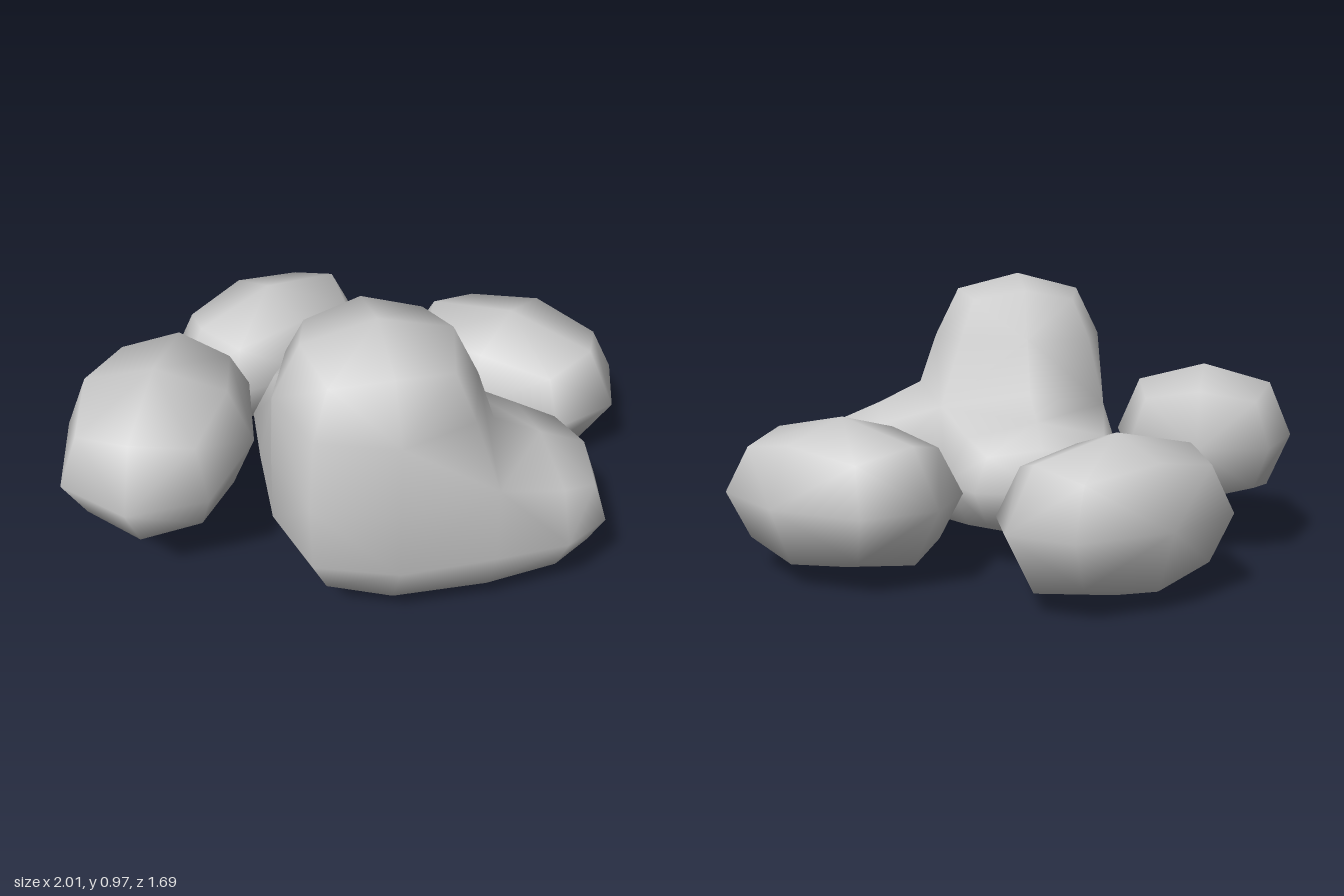
import * as THREE from 'three';

const V = (x, y, z) => new THREE.Vector3(x, y, z);
const mean = (list) => list.reduce((s, p) => s.add(p), V(0, 0, 0)).divideScalar(list.length);

// Box faces; corner index = x bit + 2 * y bit + 4 * z bit
const FACES = {
  right: [0, 4, 6, 2], left: [1, 3, 7, 5],
  bottom: [0, 1, 5, 4], top: [2, 6, 7, 3],
  back: [0, 2, 3, 1], front: [4, 5, 7, 6],
};

// Eight corners from a centre and three half axes
function boxCorners(c, a, b, d) {
  return Array.from({ length: 8 }, (_, i) => c.clone()
    .addScaledVector(a, i & 1 ? 1 : -1)
    .addScaledVector(b, i & 2 ? 1 : -1)
    .addScaledVector(d, i & 4 ? 1 : -1));
}

// Quad cage of a box; each arm pulls one face out to an end centre with its own half sizes
function makeCage(corners, arms = {}) {
  const points = corners.map((p) => p.clone());
  const middle = mean(corners);
  const quads = [];
  for (const [name, face] of Object.entries(FACES)) {
    const arm = arms[name];
    if (!arm) { quads.push(face); continue; }
    const end = face.map((i) => {
      const side = corners[i].clone().sub(middle);
      const s = V(Math.sign(side.x), Math.sign(side.y), Math.sign(side.z));
      return points.push(arm.centre.clone().add(s.multiply(arm.half))) - 1;
    });
    face.forEach((a, k) => {
      const n = (k + 1) % 4;
      quads.push([a, face[n], end[n], end[k]]);
    });
    quads.push(end);
  }
  return { points, quads };
}

// One round of quad subdivision, giving a rounded smooth-shaded stone
function roundCage({ points, quads }) {
  const out = [];
  const facePoints = quads.map((q) => mean(q.map((i) => points[i])));
  const edges = new Map();
  const around = points.map(() => ({ faces: [], mids: [] }));
  const key = (a, b) => Math.min(a, b) + '_' + Math.max(a, b);
  quads.forEach((q, f) => q.forEach((a, k) => {
    const b = q[(k + 1) % 4];
    around[a].faces.push(facePoints[f]);
    if (!edges.has(key(a, b))) {
      edges.set(key(a, b), { a, b, faces: [] });
      const mid = mean([points[a], points[b]]);
      around[a].mids.push(mid);
      around[b].mids.push(mid);
    }
    edges.get(key(a, b)).faces.push(facePoints[f]);
  }));
  points.forEach((p, i) => {
    const n = around[i].faces.length;
    const smooth = mean(around[i].faces)
      .addScaledVector(mean(around[i].mids), 2)
      .addScaledVector(p, n - 3).divideScalar(n);
    out.push(smooth.lerp(p, 0.1)); // keep the corners a little full
  });
  for (const e of edges.values()) {
    e.index = out.push(mean([points[e.a], points[e.b], ...e.faces])) - 1;
  }
  const index = [];
  quads.forEach((q, f) => {
    const c = out.push(facePoints[f]) - 1;
    q.forEach((v, k) => {
      const next = edges.get(key(v, q[(k + 1) % 4])).index;
      const prev = edges.get(key(v, q[(k + 3) % 4])).index;
      index.push(v, next, c, v, c, prev);
    });
  });
  const geometry = new THREE.BufferGeometry().setFromPoints(out);
  geometry.setIndex(index);
  geometry.computeVertexNormals();
  return geometry;
}

export function createModel() {
  const group = new THREE.Group();
  const material = new THREE.MeshStandardMaterial({ color: 0xcccccc });
  const add = (name, cage) => {
    const mesh = new THREE.Mesh(roundCage(cage), material);
    mesh.name = name;
    group.add(mesh);
  };

  // Large stone: a core with lobes going up, to the left and to the back
  const core = boxCorners(V(-0.04, 0.28, 0.5), V(0.33, 0, 0), V(0, 0.225, 0), V(0, 0, 0.335));
  add('largeStone', makeCage(core, {
    top: { centre: V(-0.04, 0.97, 0.5), half: V(0.3, 0, 0.3) },
    left: { centre: V(0.705, 0.27, 0.5), half: V(0, 0.18, 0.29) },
    back: { centre: V(-0.04, 0.27, -0.28), half: V(0.3, 0.18, 0) },
  }));

  // Small stones: centre, half height and two horizontal half axes [x, z]
  const stones = [
    ['leftStone', V(0.615, 0.27, -0.15), 0.255, [0.3, 0.3], [-0.22, 0.22]],
    ['rightStone', V(-0.685, 0.4, 0.145), 0.25, [0.295, 0.11], [-0.135, 0.4]],
    ['backStone', V(-0.223, 0.262, -0.525), 0.257, [0.365, -0.2], [0.125, 0.235]],
  ];
  for (const [name, centre, height, a, d] of stones) {
    add(name, makeCage(boxCorners(centre, V(a[0], 0, a[1]), V(0, height, 0), V(d[0], 0, d[1]))));
  }
  return group;
}
